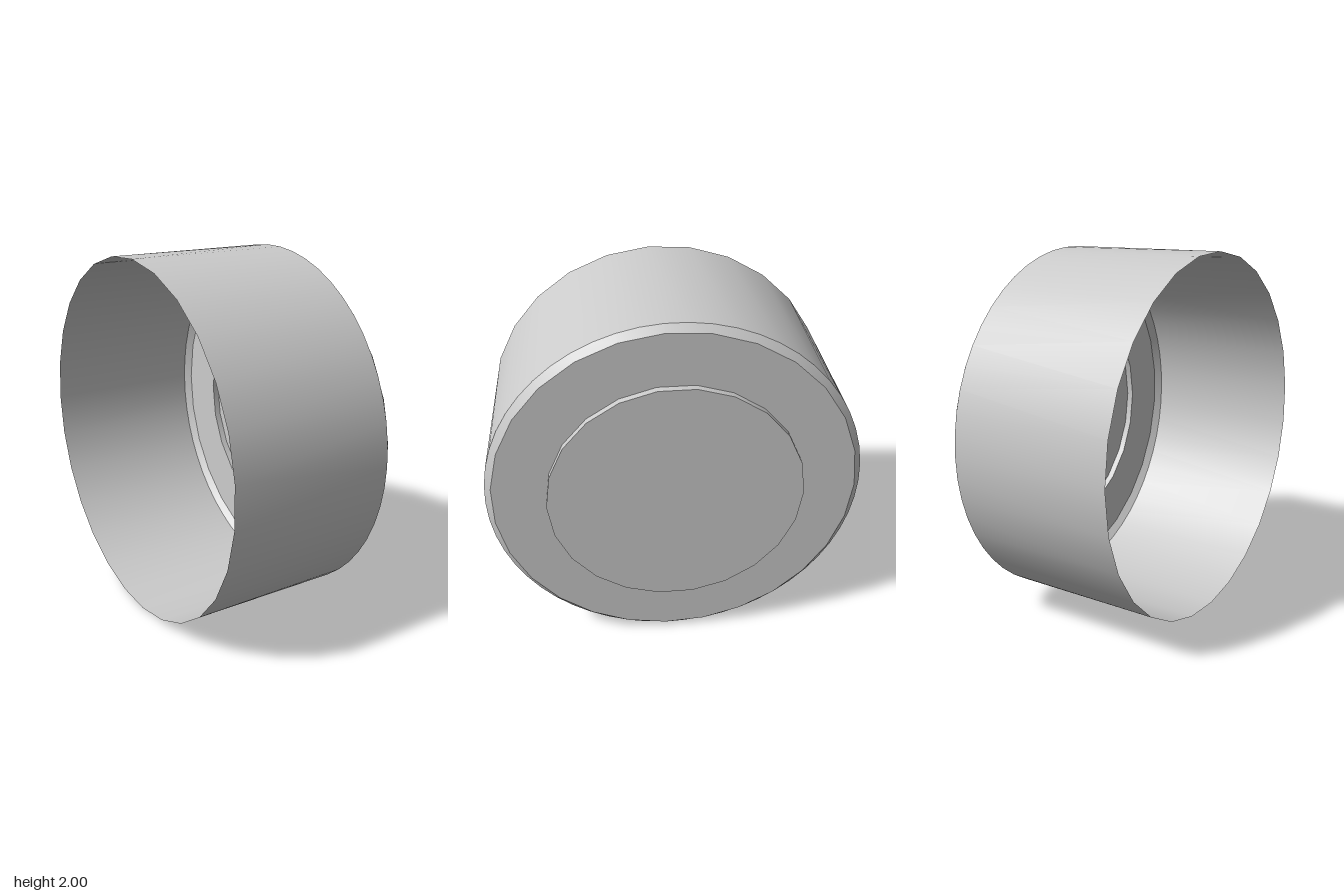
import * as THREE from 'three';

const material = new THREE.MeshStandardMaterial({ color: 0xcccccc, side: THREE.DoubleSide });

// Each ring runs around the x axis: position along x, radius, number of sides.
const openRim = { x: -0.5, r: 1, n: 27 };
const shoulder = { x: 0.423, r: 1, n: 54 };
const faceEdge = { x: 0.457, r: 0.966, n: 27 };
const hubBase = { x: 0.457, r: 0.682, n: 22 };
const hubTop = { x: 0.495, r: 0.682, n: 22 };

// Joins two rings, even with different side counts, with smooth normals around the axis.
function band(a, b) {
  const positions = [], normals = [];
  const length = Math.hypot(b.x - a.x, b.r - a.r);
  const nx = (a.r - b.r) / length, nr = (b.x - a.x) / length;
  const add = (ring, i) => {
    const t = (i / ring.n) * Math.PI * 2;
    positions.push(ring.x, 1 + ring.r * Math.sin(t), -ring.r * Math.cos(t));
    normals.push(nx, nr * Math.sin(t), -nr * Math.cos(t));
  };
  let i = 0, j = 0;
  while (i < a.n || j < b.n) {
    // step along whichever ring is behind
    const stepA = j >= b.n || (i < a.n && (i + 1) * b.n <= (j + 1) * a.n);
    add(a, i);
    if (stepA) add(a, ++i);
    else add(b, j + 1);
    add(b, j);
    if (!stepA) j++;
  }
  const geometry = new THREE.BufferGeometry();
  geometry.setAttribute('position', new THREE.Float32BufferAttribute(positions, 3));
  geometry.setAttribute('normal', new THREE.Float32BufferAttribute(normals, 3));
  return geometry;
}

export function createModel() {
  const group = new THREE.Group();
  group.name = 'cap';
  const part = (name, geometry) => {
    const mesh = new THREE.Mesh(geometry, material);
    mesh.name = name;
    group.add(mesh);
  };

  // Thin shell, open at the -x end
  part('sideWall', band(openRim, shoulder));
  part('bevel', band(shoulder, faceEdge));
  part('endFace', band(faceEdge, hubBase));

  // Raised central disc, hollow behind
  part('hubWall', band(hubBase, hubTop));
  part('hubFace', new THREE.CircleGeometry(hubTop.r, hubTop.n)
    .rotateY(Math.PI / 2).translate(hubTop.x, 1, 0));

  return group;
}
